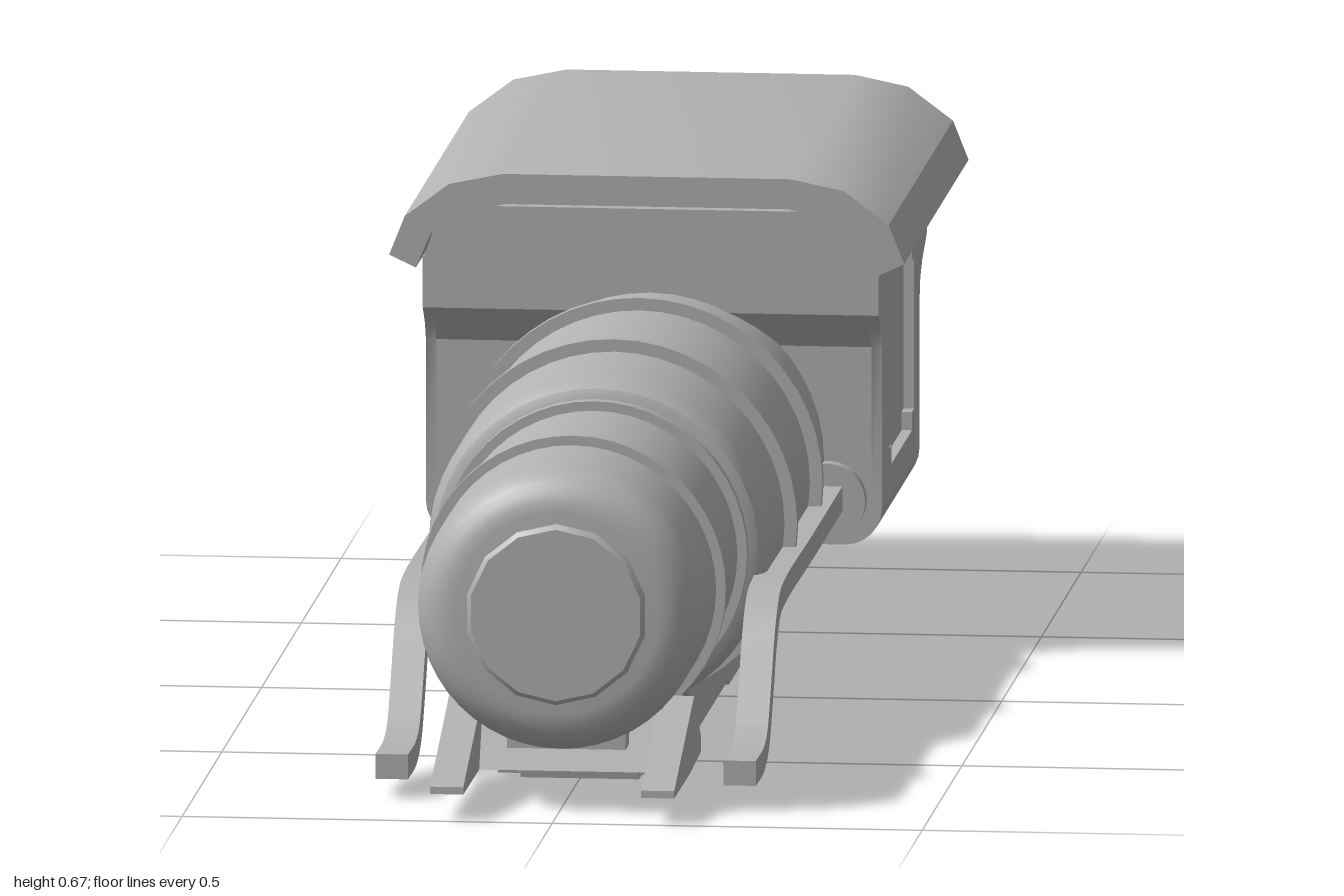
import * as THREE from 'three';
import { toCreasedNormals } from 'three/addons/utils/BufferGeometryUtils.js';

const grey = new THREE.MeshStandardMaterial({ color: 0xb2b2b2 });
grey.name = 'plain grey';
const AXIS_Y = 0.276;

const toShape = (pts) => new THREE.Shape(pts.map(([a, b]) => new THREE.Vector2(a, b)));
const mirrored = (pts) => [...pts, ...pts.map(([x, y]) => [-x, y]).reverse()];

export function createModel() {
  const model = new THREE.Group();
  model.name = 'locomotiveShell';

  const add = (name, geo, crease = 0.5) => {
    const mesh = new THREE.Mesh(toCreasedNormals(geo, crease), grey);
    mesh.name = name;
    model.add(mesh);
    return mesh;
  };
  // Outline in (x, y), extruded from z0 to z1
  const alongZ = (name, shape, z0, z1) => {
    const geo = new THREE.ExtrudeGeometry(shape, { depth: z1 - z0, bevelEnabled: false, curveSegments: 8 });
    return add(name, geo.translate(0, 0, z0));
  };
  // Outline in (z, y), extruded from x0 to x1
  const alongX = (name, shape, x0, x1) => {
    const geo = new THREE.ExtrudeGeometry(shape, { depth: x1 - x0, bevelEnabled: false });
    return add(name, geo.rotateY(-Math.PI / 2).translate(x1, 0, 0));
  };
  // Profile in (radius, z), turned about the boiler axis
  const turned = (name, pts, sides = 48) => {
    const geo = new THREE.LatheGeometry(pts.map(([r, z]) => new THREE.Vector2(r, z)), sides);
    return add(name, geo.rotateX(Math.PI / 2).translate(0, AXIS_Y, 0), 0.6);
  };
  const ring = (name, r, z, w) => turned(name, [[r - 0.03, z - w / 2], [r, z - w / 2], [r, z + w / 2], [r - 0.03, z + w / 2]]);

  // Boiler: narrow front barrel with a rounded nose, wide rear barrel, firebox stub
  const nose = [[0, 0.4], [0.193, 0.4]];
  for (let i = 0; i <= 6; i++) {
    const a = (i / 6) * Math.PI / 2;
    nose.push([0.138 + 0.055 * Math.cos(a), 0.89 + 0.055 * Math.sin(a)]);
  }
  turned('frontBarrel', [...nose, [0, 0.945]]);
  turned('smokeboxDoor', [[0, 0.93], [0.123, 0.93], [0.123, 0.952], [0.117, 0.957], [0, 0.957]], 14);
  turned('rearBarrel', [[0, -0.415], [0.23, -0.415], [0.23, 0.41], [0.227, 0.428], [0.219, 0.441], [0.205, 0.447], [0, 0.447]]);
  turned('fireboxStub', [[0, -0.62], [0.211, -0.62], [0.211, -0.4], [0, -0.4]]);
  ring('frontBand', 0.206, 0.725, 0.016);
  ring('stepBand', 0.206, 0.457, 0.018);
  for (const z of [0.21, -0.11]) ring('rearBand', 0.247, z, 0.016);

  // Belly pan
  alongX('bellyPan', toShape([[0.43, 0.085], [0.38, 0.055], [0.35, 0.02], [0.33, 0.008], [-0.08, 0.008], [-0.09, 0], [-0.3, 0], [-0.31, 0.03], [-0.335, 0.08]]), -0.122, 0.122);
  alongX('frontPan', toShape([[0.65, 0], [0.66, 0.05], [0.62, 0.095], [0.32, 0.095], [0.32, 0]]), -0.08, 0.08);
  alongX('frontPanFlange', toShape([[0.64, 0.004], [0.65, 0.06], [0.45, 0.075], [0.38, 0.055], [0.33, 0.004]]), -0.112, 0.112);

  // Pilot: cross plate and two forward prongs
  alongX('pilotPlate', toShape([[0.66, 0.04], [0.8, 0.036], [0.75, 0.13], [0.66, 0.06]]), -0.12, 0.12);
  alongX('pilotBlock', toShape([[0.72, 0.07], [0.82, 0.07], [0.82, 0.11], [0.72, 0.11]]), -0.08, 0.08);
  const prong = toShape([[1, 0.037], [1, 0.047], [0.75, 0.133], [0.66, 0.06], [0.66, 0.042], [0.8, 0.036]]);

  // Handrail: ribbon of even thickness around a side path
  const path = new THREE.CatmullRomCurve3([[-0.28, 0.226], [0.1, 0.226], [0.48, 0.226], [0.53, 0.218], [0.575, 0.185], [0.625, 0.118],
    [0.67, 0.064], [0.72, 0.045], [0.83, 0.043]].map(([z, y]) => new THREE.Vector3(z, y, 0)), false, 'centripetal');
  const upper = [], lower = [];
  for (let i = 0; i <= 60; i++) {
    const p = path.getPointAt(i / 60), t = path.getTangentAt(i / 60);
    upper.push([p.x - t.y * 0.017, p.y + t.x * 0.017]);
    lower.push([p.x + t.y * 0.017, p.y - t.x * 0.017]);
  }
  const rail = toShape([...lower, ...upper.reverse()]);

  // Cab side wall with a notched window recess
  const wall = toShape([[-0.28, 0.21], [-0.28, 0.43], [-0.267, 0.455], [-0.24, 0.48], [-0.24, 0.55], [-0.86, 0.55], [-0.86, 0.505],
    [-0.845, 0.485], [-0.79, 0.46], [-0.765, 0.44], [-0.755, 0.41], [-0.755, 0.21]]);
  const [wz, wy, hw, hh, n] = [-0.53, 0.378, 0.155, 0.128, 0.025];
  const corner = [[hw, hh - n], [hw - n, hh - n], [hw - n, hh]];
  const quarter = (sx, sy) => corner.map(([a, b]) => new THREE.Vector2(wz + sx * a, wy + sy * b));
  wall.holes.push(new THREE.Path([...quarter(1, 1), ...quarter(-1, 1).reverse(), ...quarter(-1, -1), ...quarter(1, -1).reverse()]));

  for (const s of [-1, 1]) {
    const span = (a, b) => (s > 0 ? [a, b] : [-b, -a]);
    alongX('pilotProng', prong, ...span(0.12, 0.165));
    alongX('handrail', rail, ...span(0.213, 0.257));
    alongX('cabSideWall', wall, ...span(0.294, 0.308));
    const boss = new THREE.CylinderGeometry(0.052, 0.052, 0.025, 24).rotateX(Math.PI / 2);
    add('handrailBoss', boss.translate(s * 0.236, 0.222, -0.271));
  }

  // Cab body with rounded lower edges and a recessed rear panel
  const floorEdge = [];
  for (let i = 0; i <= 6; i++) {
    const a = (i / 6) * Math.PI / 2;
    floorEdge.push([0.258 + 0.05 * Math.sin(a), 0.21 - 0.05 * Math.cos(a)]);
  }
  const core = mirrored([...floorEdge, [0.294, 0.21], [0.294, 0.44]]);
  alongZ('cabBody', toShape(core), -0.738, -0.28);
  const rim = toShape(core);
  rim.holes.push(new THREE.Path(mirrored([[0.255, 0.175], [0.28, 0.185], [0.292, 0.21], [0.292, 0.425]]).map(([x, y]) => new THREE.Vector2(x, y))));
  alongZ('cabRearRim', rim, -0.755, -0.738);
  alongX('cabOverhang', toShape([[-0.28, 0.43], [-0.24, 0.48], [-0.24, 0.55], [-0.86, 0.55], [-0.86, 0.505], [-0.845, 0.485],
    [-0.79, 0.46], [-0.765, 0.44], [-0.755, 0.425], [-0.7, 0.425]]), -0.294, 0.294);
  alongZ('cabTop', toShape(mirrored([[0.308, 0.545], [0.292, 0.59], [0.25, 0.62]])), -0.86, -0.24);

  // Arched roof, slightly clear of the cab top
  const outer = [[0.348, 0.56], [0.327, 0.613], [0.267, 0.658], [0.195, 0.673]];
  const inner = [[0.312, 0.543], [0.292, 0.59], [0.25, 0.62], [0.19, 0.632]];
  alongZ('roof', toShape([...mirrored(outer), ...mirrored(inner).reverse()]), -1, -0.19);

  return model;
}
